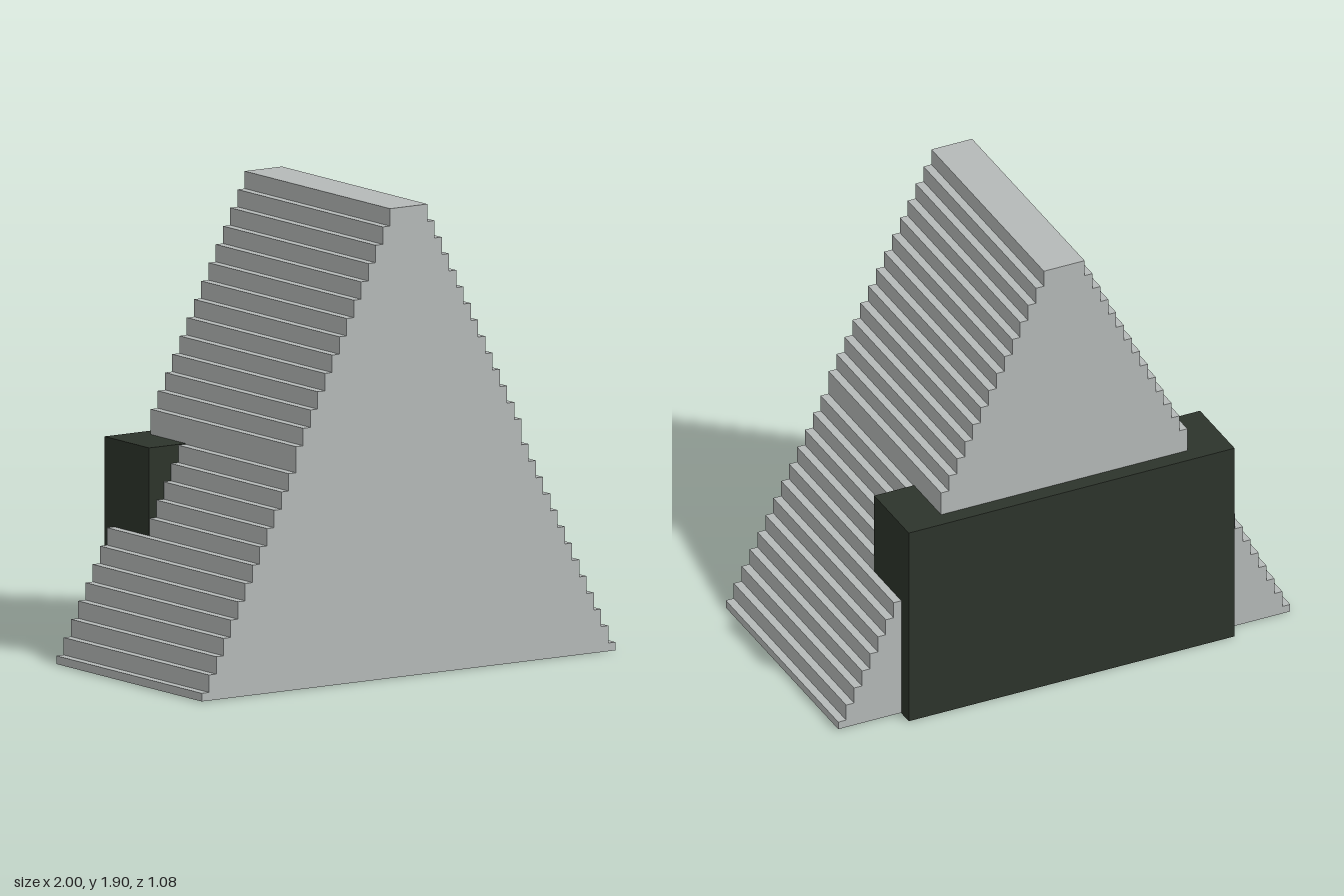
import * as THREE from 'three';

const STEPS = 27;      // courses from base to ridge
const RUN = 0.035;     // how far each course sets in
const RISE = 0.0703;   // height of a regular course
const FRONT = 0.54, BACK = -0.475;

export function createModel() {
  const model = new THREE.Group();
  model.name = 'steppedHouse';

  const stone = new THREE.MeshStandardMaterial({ color: 0xb5b9b8 });
  stone.name = 'light grey stone';
  const dark = new THREE.MeshStandardMaterial({ color: 0x2d342b });
  dark.name = 'dark green grey';

  // Stepped gable outline: half-height first course, one taller course mid-way
  const right = [];
  let y = 0.002;
  for (let i = 0; i < STEPS; i++) {
    const x = 1 - i * RUN;
    const top = 0.035 + i * RISE + (i > 12 ? RISE / 2 : 0);
    right.push(new THREE.Vector2(x, y), new THREE.Vector2(x, top));
    y = top;
  }
  const left = right.map((p) => new THREE.Vector2(-p.x, p.y)).reverse();
  const bodyGeometry = new THREE.ExtrudeGeometry(new THREE.Shape([...right, ...left]), {
    depth: FRONT - BACK,
    bevelEnabled: false,
  });
  bodyGeometry.translate(0, 0, BACK);
  const body = new THREE.Mesh(bodyGeometry, stone);
  body.name = 'steppedBody';
  model.add(body);

  // Dark block set into the back, just proud of the courses and the base
  const block = new THREE.Mesh(new THREE.BoxGeometry(1.442, 0.882, 0.312), dark);
  block.name = 'backBlock';
  block.position.set(0, 0.441, -0.386);
  model.add(block);

  return model;
}
